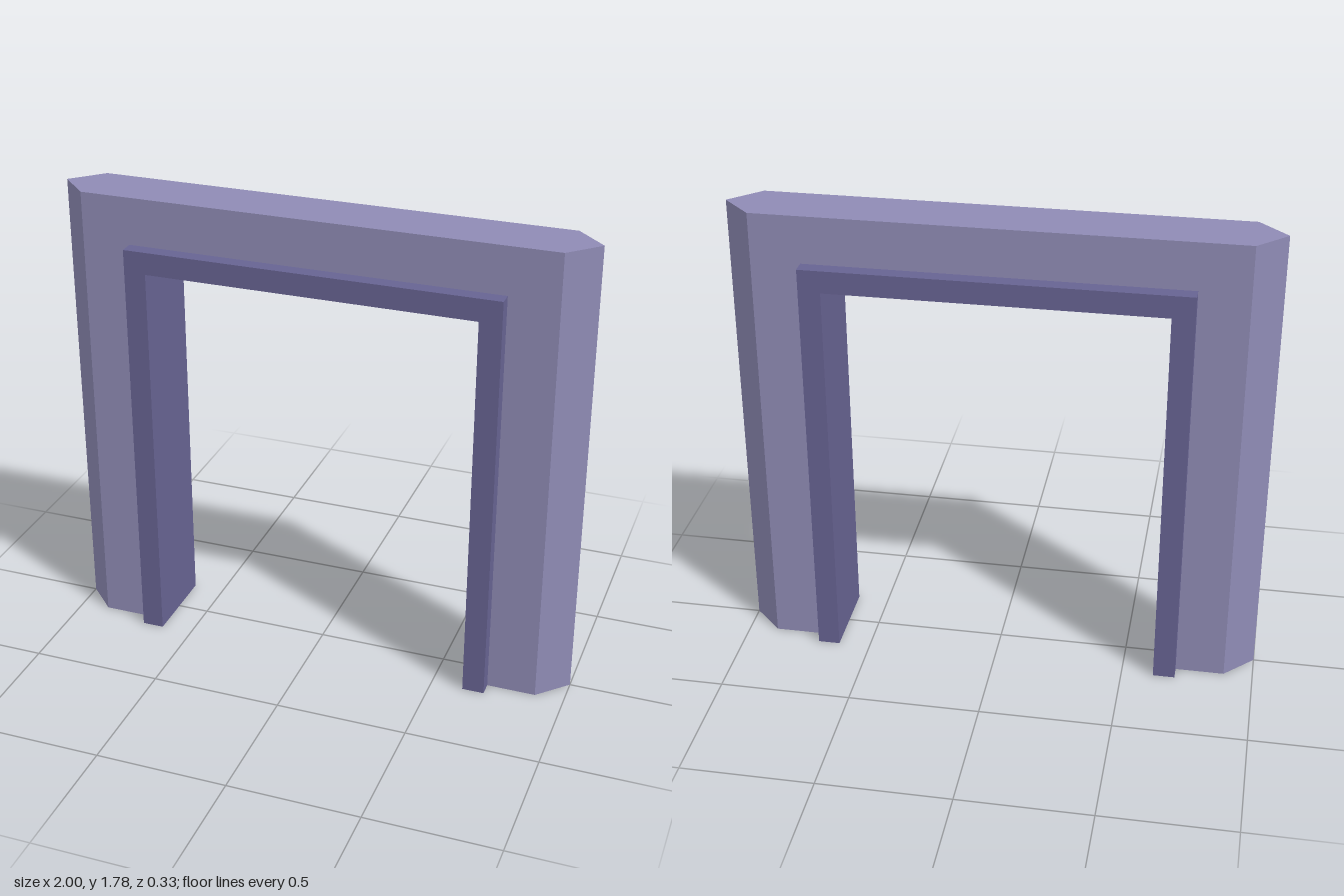
import * as THREE from 'three';

// Doorway outline: an upside-down U standing on y = 0
function archShape(outerX, outerY, innerX, innerY) {
  return new THREE.Shape([
    [-outerX, 0], [-innerX, 0], [-innerX, innerY], [innerX, innerY],
    [innerX, 0], [outerX, 0], [outerX, outerY], [-outerX, outerY],
  ].map(([x, y]) => new THREE.Vector2(x, y)));
}

function archGeometry(shape, depth, steps = 1) {
  return new THREE.ExtrudeGeometry(shape, { depth, steps, bevelEnabled: false })
    .translate(0, 0, -depth / 2);
}

function part(name, geometry, color) {
  const mesh = new THREE.Mesh(
    geometry, new THREE.MeshStandardMaterial({ color, flatShading: true }));
  mesh.name = name;
  return mesh;
}

export function createModel() {
  const group = new THREE.Group();
  group.name = 'doorway';

  // Wall: the middle layer of its outer sides is pulled out to a pointed ridge
  const wall = archGeometry(archShape(0.89, 1.78, 0.705, 1.6), 0.22, 2);
  const pos = wall.attributes.position;
  for (let i = 0; i < pos.count; i++) {
    const x = pos.getX(i);
    if (Math.abs(pos.getZ(i)) < 0.01 && Math.abs(x) > 0.88) pos.setX(i, Math.sign(x));
  }
  wall.computeVertexNormals();
  group.add(part('wall', wall, 0x8f8bb5));

  // Door frame: lines the opening and stands proud on both faces
  const frame = archGeometry(archShape(0.705, 1.6, 0.622, 1.515), 0.33);
  group.add(part('doorFrame', frame, 0x676392));

  return group;
}
